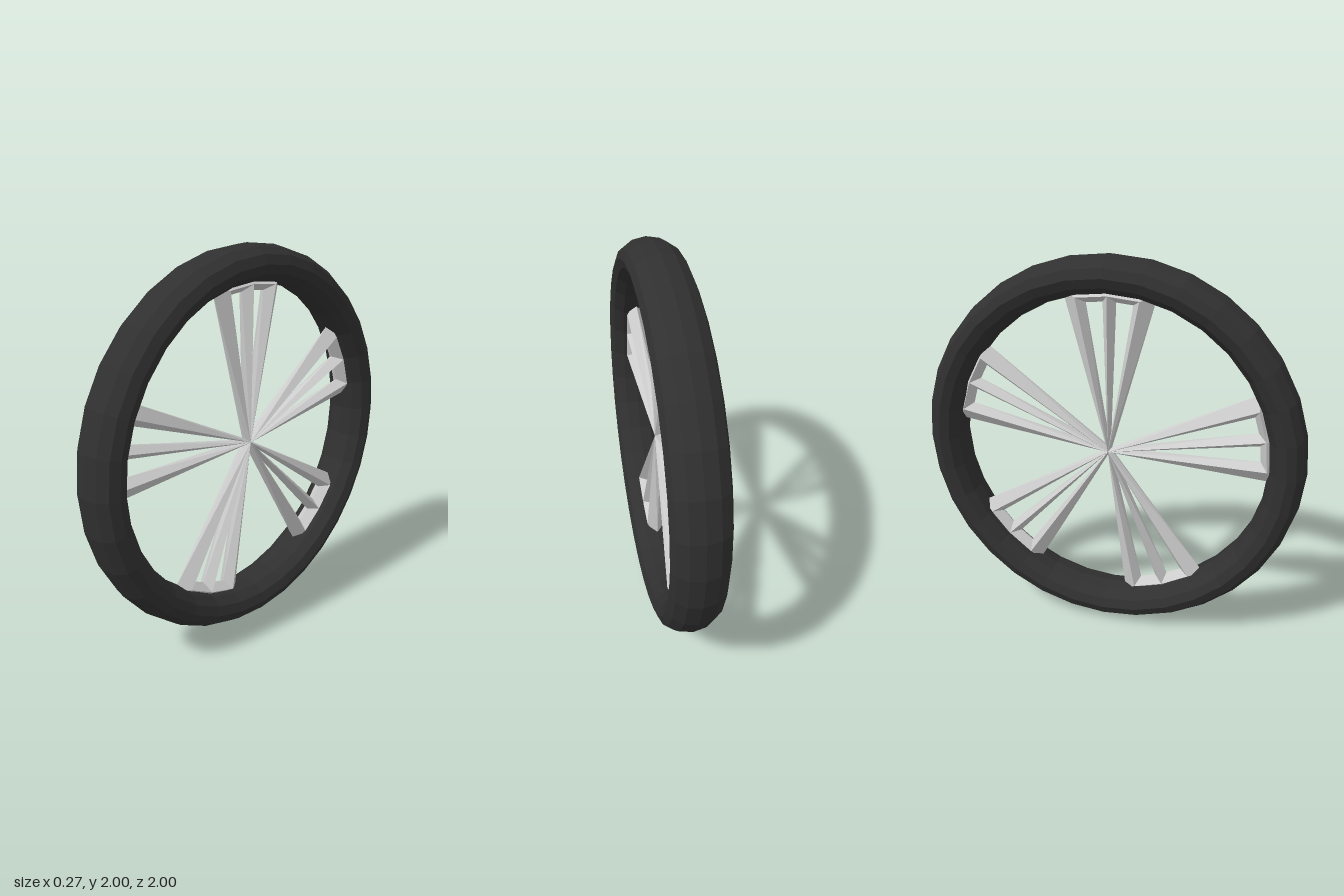
import * as THREE from 'three';

const STEP = (Math.PI * 2) / 32;      // one rim segment
const RIM = 0.81;                     // radius of the spoke ends
const GROUPS = [0, 6, 12, 18, 25];    // middle spoke of each group, in rim segments

// Point in wheel space: angle in segments from the top towards -z,
// r along that direction, t sideways to it, x along the axle
function point(seg, r, t = 0, x = 0) {
  const a = seg * STEP;
  return new THREE.Vector3(x, r * Math.cos(a) - t * Math.sin(a), -r * Math.sin(a) - t * Math.cos(a));
}

// Three tapered, ridged spokes joined by a ridged bar at the rim
function spokeGroup(middle, gapBefore, gapAfter) {
  const positions = [];
  const quad = (side, a, b, c, d) => {
    const normal = b.clone().sub(a).cross(c.clone().sub(a));
    const corners = normal.x * side > 0 ? [a, b, c, a, c, d] : [a, c, b, a, d, c];
    corners.forEach((p) => positions.push(p.x, p.y, p.z));
  };
  for (const side of [1, -1]) {
    const hub = point(0, 0, 0, side * 0.03);
    const ridge = (k) => point(middle + k, RIM, 0, side * 0.05);
    // rim corner beside spoke k: open edge of the group, or corner of a hole
    const corner = (k, dir) => k === dir
      ? point(middle + k, RIM + 0.035, dir * 0.07)
      : point(middle + k, RIM - 0.037, dir * 0.034);
    const hubCorner = (k, dir) => {
      if (k !== dir) return point(middle + k + dir / 2, 0.03);
      return point(middle + (dir > 0 ? gapAfter : -gapBefore) / 2, 0.025);
    };
    for (const k of [-1, 0, 1]) {
      for (const dir of [-1, 1]) quad(side, hub, ridge(k), corner(k, dir), hubCorner(k, dir));
    }
    // rim bar
    const outer = (k) => (k === 0 ? point(middle, RIM + 0.045) : corner(k, k));
    for (const k of [-1, 0]) {
      quad(side, ridge(k), ridge(k + 1), corner(k + 1, -1), corner(k, 1));
      quad(side, ridge(k), ridge(k + 1), outer(k + 1), outer(k));
    }
  }
  const geometry = new THREE.BufferGeometry();
  geometry.setAttribute('position', new THREE.Float32BufferAttribute(positions, 3));
  geometry.computeVertexNormals();
  return geometry;
}

export function createModel() {
  const wheel = new THREE.Group();
  wheel.name = 'wheel';

  // Tire: a ring with an oval section, wider than it is deep
  const tireGeometry = new THREE.TorusGeometry(0.9075, 0.0925, 12, 32);
  tireGeometry.scale(1, 1, 0.135 / 0.0925);
  tireGeometry.rotateY(Math.PI / 2);
  const tire = new THREE.Mesh(
    tireGeometry,
    new THREE.MeshStandardMaterial({ color: 0x303030, flatShading: true })
  );
  tire.name = 'tire';
  wheel.add(tire);

  // Spokes: five groups around the hub
  const spokes = new THREE.Group();
  spokes.name = 'spokes';
  const grey = new THREE.MeshStandardMaterial({ color: 0xcccccc, flatShading: true });
  GROUPS.forEach((middle, i) => {
    const n = GROUPS.length;
    const before = (middle - GROUPS[(i + n - 1) % n] + 32) % 32;
    const after = (GROUPS[(i + 1) % n] - middle + 32) % 32;
    const mesh = new THREE.Mesh(spokeGroup(middle, before, after), grey);
    mesh.name = 'spokeGroup' + (i + 1);
    spokes.add(mesh);
  });
  wheel.add(spokes);

  wheel.position.y = 1;
  const model = new THREE.Group();
  model.name = 'wheelModel';
  model.add(wheel);
  return model;
}
